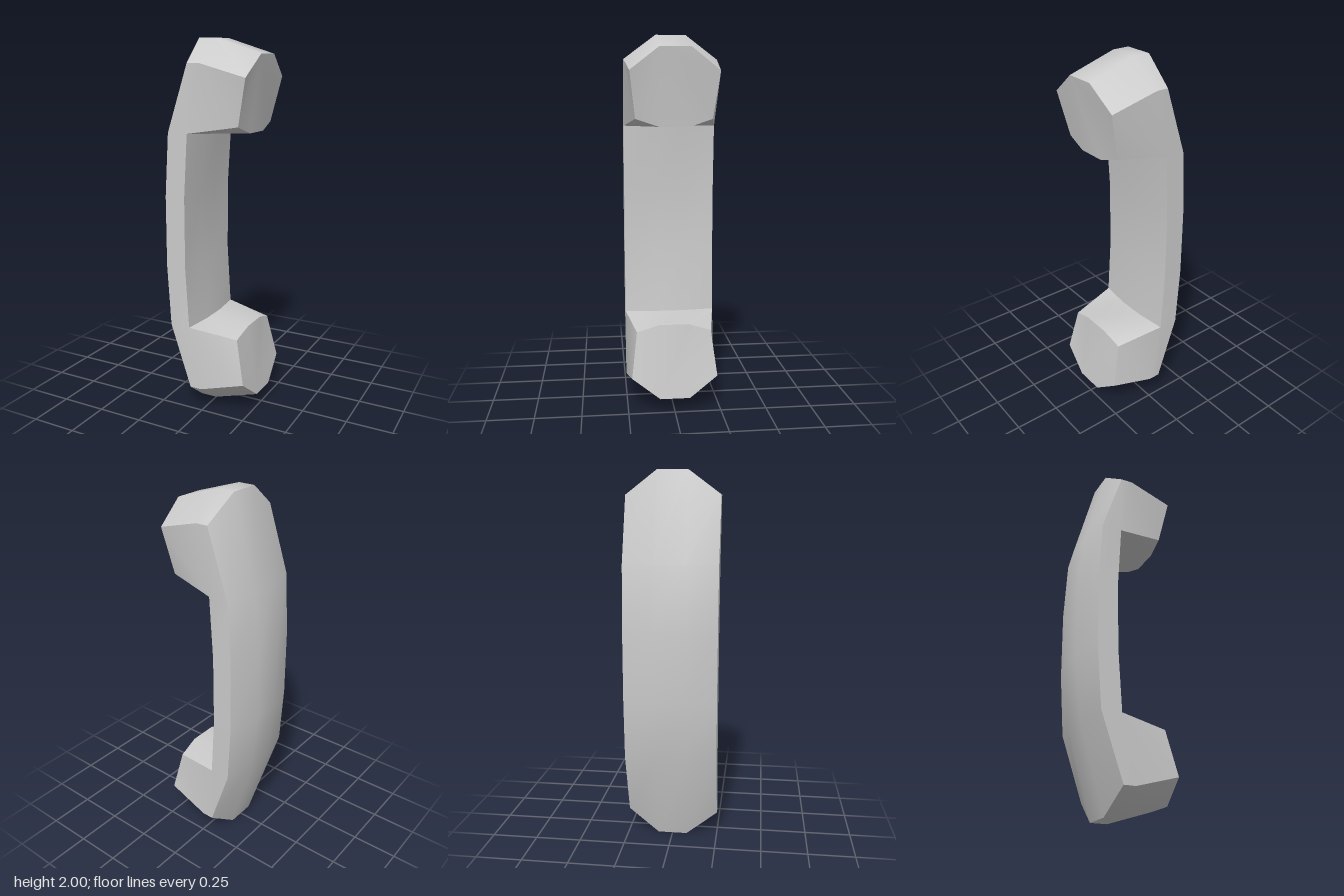
import * as THREE from 'three';
import { toCreasedNormals } from 'three/addons/utils/BufferGeometryUtils.js';

// Half sections of the upper half, from grip to cup face:
// back middle, back side, inner side, inner middle as [x, y, z]
const innerSide = [-0.075, 1.525, 0.25];
const innerMid = [-0.057, 1.525, 0.08];
const upperSections = [
  [[-0.26, 1.19, 0.08], [-0.208, 1.19, 0.25], [-0.095, 1.19, 0.25], [-0.09, 1.19, 0.08]],
  [[-0.225, 1.525, 0.08], [-0.187, 1.525, 0.25], innerSide, innerMid],
  [[-0.093, 2, 0.08], [-0.07, 1.875, 0.25], innerSide, innerMid],
  [[0, 2, 0.08], [-0.005, 1.875, 0.25], innerSide, innerMid],
  [[0.257, 1.92, 0.08], [0.242, 1.805, 0.23], [0.19, 1.565, 0.2], [0.2, 1.525, 0.08]],
];

// Complete a half section into a ring by mirroring it in z
function ring(half, flipY) {
  const side = half.map(([x, y, z]) => new THREE.Vector3(x, flipY ? 2 - y : y, z));
  const other = side.map((p) => new THREE.Vector3(p.x, p.y, -p.z)).reverse();
  return [...side, ...other];
}

// Skin a row of rings and close both ends
function loft(rings) {
  const positions = [];
  const tri = (a, b, c) => {
    if (new THREE.Triangle(a, b, c).getArea() < 1e-6) return; // rings share the inner corner
    for (const p of [a, b, c]) positions.push(p.x, p.y, p.z);
  };
  const n = rings[0].length;
  for (let i = 0; i < rings.length - 1; i++) {
    const lower = rings[i], upper = rings[i + 1];
    for (let j = 0; j < n; j++) {
      const k = (j + 1) % n;
      tri(lower[j], lower[k], upper[k]);
      tri(lower[j], upper[k], upper[j]);
    }
  }
  const first = rings[0], last = rings[rings.length - 1];
  for (let j = 1; j < n - 1; j++) {
    tri(first[0], first[j + 1], first[j]);
    tri(last[0], last[j], last[j + 1]);
  }
  const geometry = new THREE.BufferGeometry();
  geometry.setAttribute('position', new THREE.Float32BufferAttribute(positions, 3));
  return toCreasedNormals(geometry, 0.7);
}

export function createModel() {
  const group = new THREE.Group();
  group.name = 'telephoneHandset';

  // One continuous shell: lower cup, curved grip, upper cup
  const rings = [
    ...upperSections.map((s) => ring(s, true)).reverse(),
    ...upperSections.map((s) => ring(s, false)),
  ];
  const handset = new THREE.Mesh(
    loft(rings),
    new THREE.MeshStandardMaterial({ color: 0xcccccc })
  );
  handset.name = 'handsetShell';
  group.add(handset);
  return group;
}
